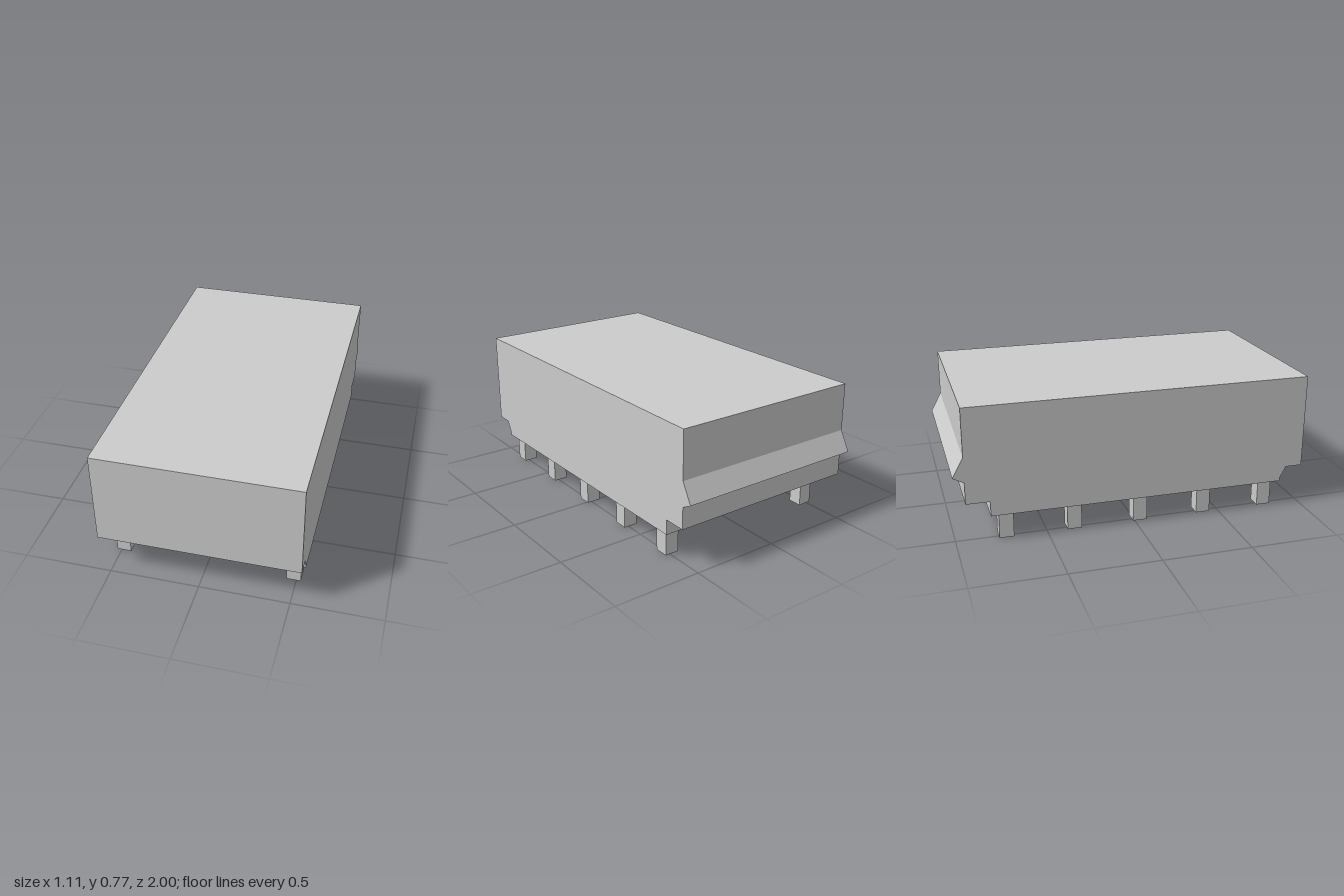
import * as THREE from 'three';

const WIDTH = 1.11;

// Extrudes a side profile of [z, y] points across x, centred on x
function prism(points, width) {
  const shape = new THREE.Shape(points.map(([z, y]) => new THREE.Vector2(z, y)));
  const geometry = new THREE.ExtrudeGeometry(shape, { depth: width, bevelEnabled: false });
  geometry.translate(0, 0, -width / 2);
  geometry.rotateY(-Math.PI / 2);
  return geometry;
}

export function createModel() {
  const model = new THREE.Group();
  model.name = 'raisedBuilding';
  const material = new THREE.MeshStandardMaterial({ color: 0xcccccc, flatShading: true });

  const add = (name, geometry, x = 0, y = 0, z = 0) => {
    const mesh = new THREE.Mesh(geometry, material);
    mesh.name = name;
    mesh.position.set(x, y, z);
    model.add(mesh);
  };

  // Main volume: overhanging block, narrower floor and a pointed ledge along the back
  add('body', prism([
    [1.0, 0.77], [-0.94, 0.77], [-0.94, 0.5], [-1.0, 0.39], [-0.94, 0.358],
    [-0.94, 0.235], [-0.81, 0.235], [-0.81, 0.15], [0.87, 0.15], [0.87, 0.235], [1.0, 0.235],
  ], WIDTH));

  // Sloped brackets beneath the front overhang, one at each corner
  const bracket = prism([[0.87, 0.17], [0.904, 0.235], [0.87, 0.235]], 0.205);
  // Square posts in two rows
  const post = new THREE.BoxGeometry(0.08, 0.15, 0.08);
  for (const side of [-1, 1]) {
    add('frontBracket', bracket, side * (WIDTH / 2 - 0.1025));
    for (let i = 0; i < 5; i++) add('post', post, side * 0.485, 0.075, 0.787 - i * 0.378);
  }
  return model;
}
